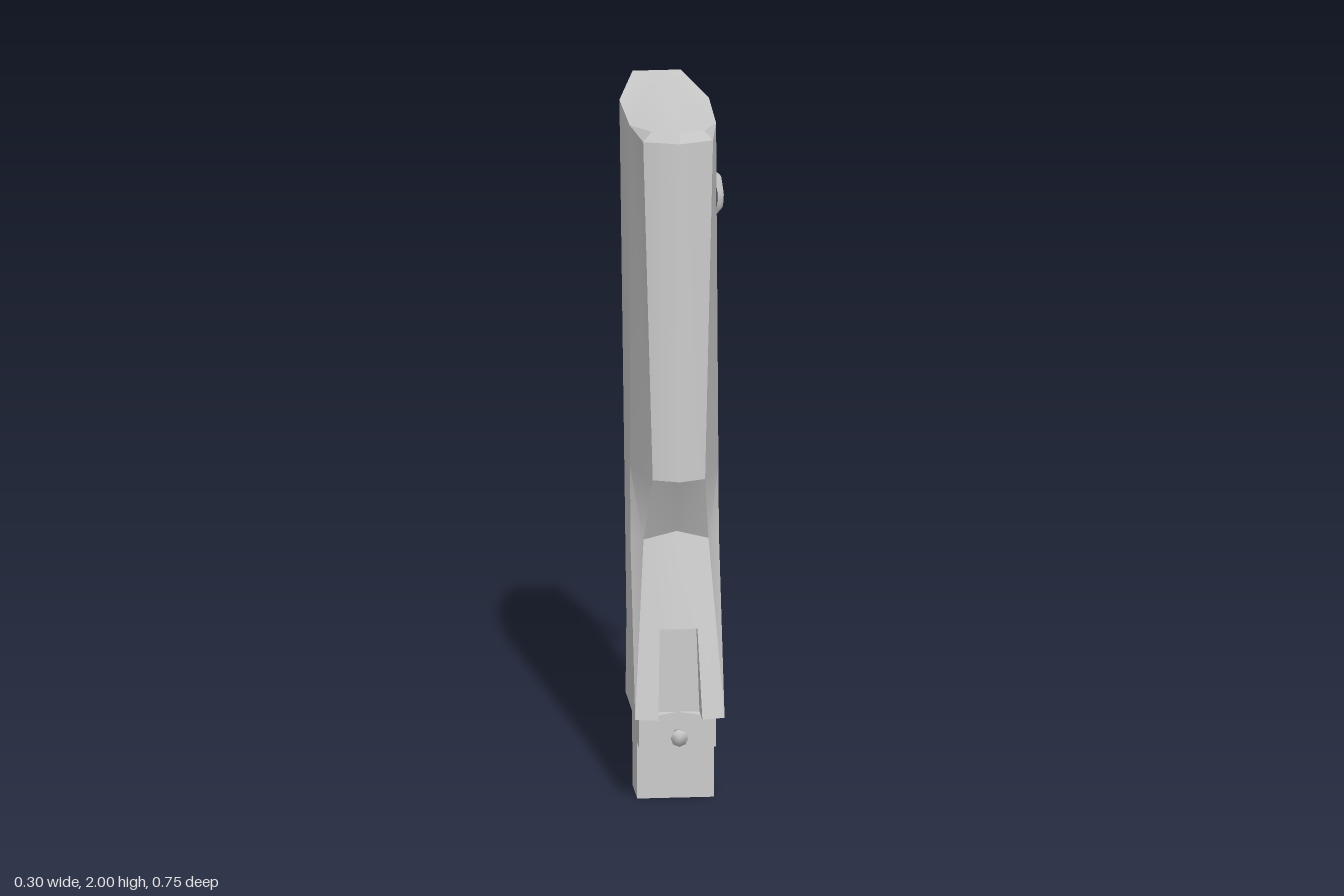
import * as THREE from 'three';
import { toCreasedNormals } from 'three/addons/utils/BufferGeometryUtils.js';

const material = new THREE.MeshStandardMaterial({ color: 0xcccccc, side: THREE.DoubleSide });

// Fans each polygon into triangles; the crease angle decides which edges stay sharp.
function surface(name, polys, crease = 0.1) {
  const pos = [];
  for (const p of polys) {
    for (let i = 1; i < p.length - 1; i++) pos.push(...p[0], ...p[i], ...p[i + 1]);
  }
  const geo = new THREE.BufferGeometry();
  geo.setAttribute('position', new THREE.Float32BufferAttribute(pos, 3));
  return mesh(name, toCreasedNormals(geo, crease));
}

function mesh(name, geo) {
  const m = new THREE.Mesh(geo, material);
  m.name = name;
  return m;
}

const flip = ([x, y, z]) => [-x, y, z];
const mirror = ([first, ...rest]) => [first, ...rest.reverse()].map(flip);
const both = (polys) => [...polys, ...polys.map(mirror)];
const mix = (a, b, t) => a.map((v, i) => v + (b[i] - v) * t);

// Block with a side outline (z, y) extruded across x.
function block(name, outline, width) {
  const shape = new THREE.Shape(outline.map(([z, y]) => new THREE.Vector2(-z, y)));
  const geo = new THREE.ExtrudeGeometry(shape, { depth: width, bevelEnabled: false });
  geo.translate(0, 0, -width / 2).rotateY(Math.PI / 2);
  return mesh(name, geo);
}

export function createModel() {
  const model = new THREE.Group();
  const body = new THREE.Group();
  body.name = 'body';
  body.position.x = -0.0175;
  model.add(body);

  // Key points of the +x half
  const heights = [0, 0.295, 0.413, 1];
  const column = (a, b) => heights.map((t) => mix(a, b, t));
  const corner = column([0.128, 0.27, 0.06], [0.069, 1.99, -0.36]);
  const rear = column([0.128, 0.27, 0.12], [0.128, 1.97, -0.13]);
  const fore = column([0.128, 0.27, 0.22], [0.124, 1.97, 0.14]);
  const edge = [[0.128, 0.27, 0.36], [0.093, 0.77, 0.24], [0.075, 0.97, 0.33], [0.1, 1.965, 0.305]];
  const ridge = [null, [0, 0.8, 0.265], [0, 0.97, 0.36], [0, 1.97, 0.357]];
  const apex = [0, 1.91, -0.377];
  const capEdge = [0.075, 1.994, 0.302];
  const capFront = [0, 2, 0.339];

  // Smooth flanks, meeting the back in a long triangle
  const flank = [[corner[0], apex, corner[3]]];
  const columns = [edge, fore, rear, corner];
  for (let c = 0; c < 3; c++) {
    for (let r = 0; r < 3; r++) {
      flank.push([columns[c][r], columns[c + 1][r], columns[c + 1][r + 1], columns[c][r + 1]]);
    }
  }
  body.add(surface('flanks', both(flank), 0.6));
  body.add(surface('backPanel', [[flip(corner[0]), apex, corner[0]]]));
  body.add(surface('backBevel', [[corner[3], apex, flip(corner[3])]]));

  // Front panels above the slot
  for (const r of [1, 2]) {
    const panel = [[ridge[r], edge[r], edge[r + 1], ridge[r + 1]]];
    body.add(surface(r === 1 ? 'frontStep' : 'upperFront', both(panel), 1.1));
  }

  // Lower front, split by a tapered slot
  const slotLow = [0.063, 0.27, 0.376];
  const slotHigh = [0.054, 0.525, 0.319];
  const slotMid = [0, 0.525, 0.325];
  const inset = ([x, y]) => [x, y, 0.285];
  body.add(surface('lowerFront', both([
    [slotLow, edge[0], slotHigh],
    [edge[0], edge[1], slotHigh],
    [slotHigh, edge[1], ridge[1]],
    [slotMid, slotHigh, ridge[1]],
  ]), 0.7));
  body.add(surface('slotWalls', both([
    [slotLow, slotHigh, inset(slotHigh), inset(slotLow)],
    [slotHigh, slotMid, inset(slotMid), inset(slotHigh)],
    [inset([0, 0.27]), inset(slotLow), inset(slotHigh), inset(slotMid)],
  ])));

  // Top with chamfered front rim
  body.add(surface('topCap', both([
    [[0, 1.99, -0.36], capFront, capEdge, fore[3], rear[3], corner[3]],
  ]), 0.5));
  body.add(surface('topRim', both([
    [ridge[3], edge[3], capEdge, capFront],
    [edge[3], fore[3], capEdge],
  ]), 0.5));

  // Underside around the slot
  body.add(surface('underside', both([
    [inset(slotLow), slotLow, edge[0]].reverse(),
    [inset(slotLow), edge[0], corner[0], [0, 0.27, 0.06], [0, 0.27, 0.285]].reverse(),
  ])));

  // Stepped tenon below the body
  body.add(block('tenon', [
    [0.08, 0], [0.228, 0], [0.228, 0.165], [0.285, 0.165], [0.285, 0.28], [0.066, 0.28],
  ], 0.22));

  // Flared stud on the front of the tenon
  const profile = [[0, 0], [0.012, 0], [0.012, 0.015], [0.025, 0.06], [0, 0.06]];
  const stud = mesh('stud', new THREE.LatheGeometry(profile.map((p) => new THREE.Vector2(...p)), 8));
  stud.rotation.x = Math.PI / 2;
  stud.position.set(0, 0.208, 0.285);
  body.add(stud);

  // Open wire loop hung on the +x flank
  const wire = [
    [0.108, 1.6, -0.15], [0.138, 1.655, -0.092], [0.141, 1.69, -0.086], [0.135, 1.742, -0.12],
    [0.062, 1.685, -0.33], [0.056, 1.65, -0.342], [0.063, 1.615, -0.325], [0.095, 1.59, -0.22],
  ].map((p) => new THREE.Vector3(...p));
  const path = new THREE.CatmullRomCurve3(wire, false, 'catmullrom', 0.05);
  model.add(mesh('slingLoop', toCreasedNormals(new THREE.TubeGeometry(path, 48, 0.009, 4), 0.6)));

  return model;
}
